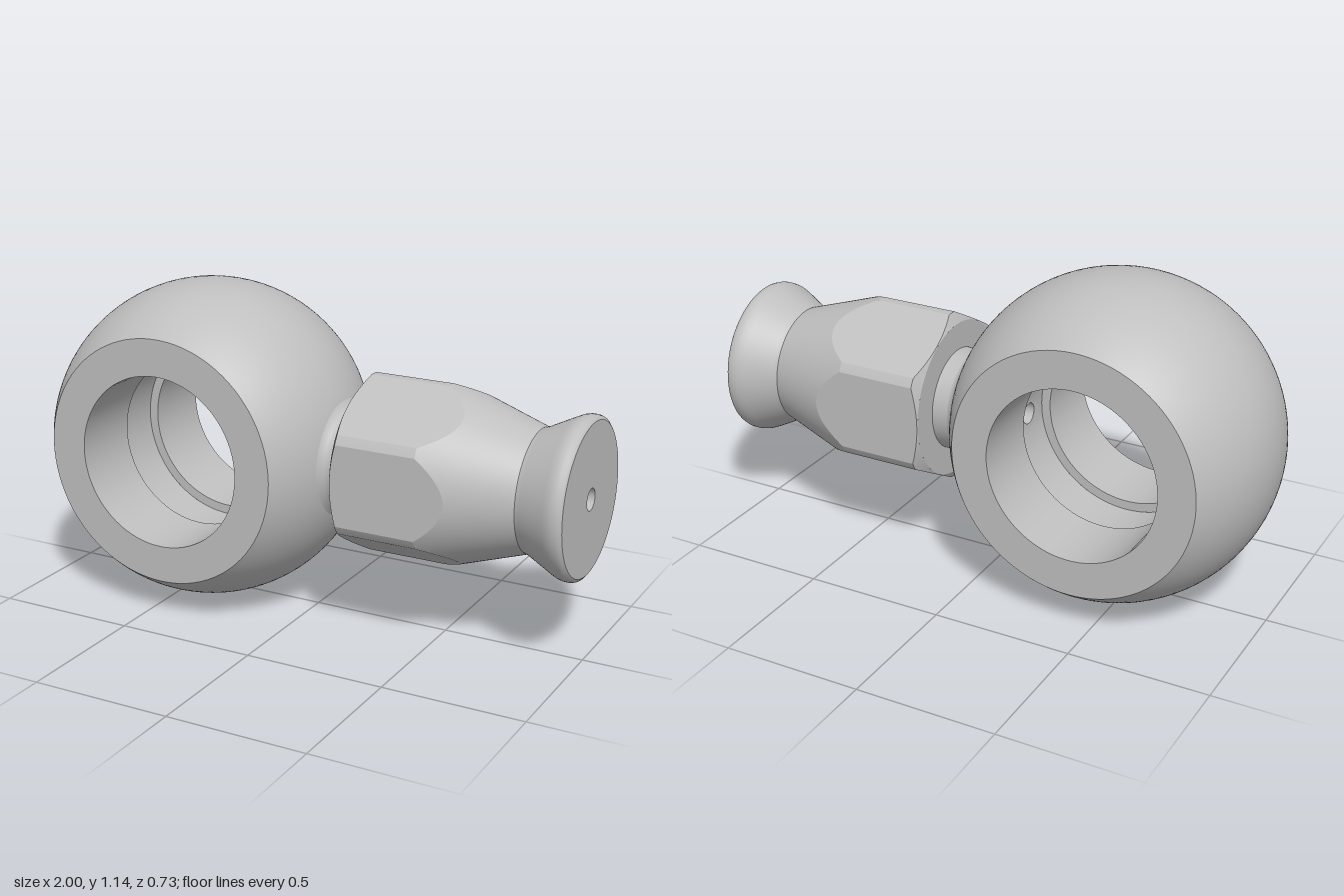
import * as THREE from 'three';
import { mergeGeometries } from 'three/addons/utils/BufferGeometryUtils.js';

const steel = new THREE.MeshStandardMaterial({ color: 0xbfbfbf });
steel.name = 'steel';

const CY = 0.571;                         // height of both axes
const RING_X = -0.43, BALL_R = 0.57, HALF_W = 0.365;
const BORE_R = 0.307, GROOVE_R = 0.34, GROOVE_Z = 0.1;
const PATCH = 0.15;                       // half angle of the drilled groove patch
const HOLE_R = 0.038;

// Revolves each [radius, height] run separately so corners between runs stay sharp
function revolve(runs, start = 0, length = Math.PI * 2) {
  return mergeGeometries(runs.map(run =>
    new THREE.LatheGeometry(run.map(p => new THREE.Vector2(p[0], p[1])), 96, start, length)));
}

function addMesh(group, name, geometry) {
  const mesh = new THREE.Mesh(geometry, steel);
  mesh.name = name;
  group.add(mesh);
}

// Piece of groove floor with the drilled hole, bent onto the groove cylinder
function drilledPatch() {
  const w = GROOVE_R * PATCH, n = 8, pts = [];
  for (let i = 0; i <= n; i++) pts.push(new THREE.Vector2(-w + 2 * w * i / n, -GROOVE_Z));
  for (let i = 0; i <= n; i++) pts.push(new THREE.Vector2(w - 2 * w * i / n, GROOVE_Z));
  const shape = new THREE.Shape(pts);
  shape.holes.push(new THREE.Path().absarc(0, 0, HOLE_R, 0, Math.PI * 2, true));
  const geo = new THREE.ShapeGeometry(shape, 16);
  const pos = geo.attributes.position;
  for (let i = 0; i < pos.count; i++) {
    const a = -pos.getX(i) / GROOVE_R, z = pos.getY(i);
    pos.setXYZ(i, GROOVE_R * Math.cos(a), GROOVE_R * Math.sin(a), z);
  }
  geo.computeVertexNormals();
  return geo;
}

// Hexagon along x, trimmed by a cylinder, a rear chamfer and a long front cone
function hexBody() {
  const flat = 0.283, corner = 0.317, x0 = 0.19, r0 = 0.28, x1 = 0.82, r1 = 0.212;
  const chamfer = (corner - r0) / 0.022, taper = (corner - r1) / (x1 - 0.5);
  const phi = Math.acos(flat / corner), sextant = Math.PI / 3;
  const position = [], normal = [];

  const column = (mid, d) => {
    const r = Math.min(corner, flat / Math.cos(d > sextant / 2 ? sextant - d : d));
    return { a: mid + d, pts: [
      [x0, r0], [x0 + (r - r0) / chamfer, r], [0.5 + (corner - r) / taper, r], [x1, r1]] };
  };
  const put = (a, p, n) => {
    position.push(p[0], p[1] * Math.cos(a), p[1] * Math.sin(a));
    normal.push(...n);
  };
  const coneNormal = (a, slope) => {
    const l = Math.hypot(1, slope);
    return [-slope / l, Math.cos(a) / l, Math.sin(a) / l];
  };

  for (let k = 0; k < 6; k++) {
    const mid = (k + 0.5) * sextant;
    const steps = [];
    for (let i = 0; i <= 16; i++) steps.push(-phi + 2 * phi * i / 16);
    steps.push(sextant / 2, sextant - phi);
    for (let i = 0; i + 1 < steps.length; i++) {
      const A = column(mid, steps[i]), B = column(mid, steps[i + 1]);
      for (let b = 0; b < 3; b++) {
        const norm = a => b === 0 ? coneNormal(a, chamfer)
          : b === 2 ? coneNormal(a, -taper)
            : coneNormal(i < 16 ? mid : a, 0);
        const quad = [[A, b], [B, b], [B, b + 1], [A, b], [B, b + 1], [A, b + 1]];
        for (const [c, j] of quad) put(c.a, c.pts[j], norm(c.a));
      }
    }
  }
  const geo = new THREE.BufferGeometry();
  geo.setAttribute('position', new THREE.Float32BufferAttribute(position, 3));
  geo.setAttribute('normal', new THREE.Float32BufferAttribute(normal, 3));
  return geo;
}

export function createModel() {
  const model = new THREE.Group();
  model.name = 'banjoFitting';

  // Ball-shaped eye, bored along z with a groove inside
  const eye = new THREE.Group();
  eye.name = 'eye';
  eye.position.set(RING_X, CY, 0);
  model.add(eye);

  const ball = [], limit = Math.asin(HALF_W / BALL_R);
  for (let i = 0; i <= 32; i++) {
    const t = limit * (i / 16 - 1);
    ball.push([BALL_R * Math.cos(t), BALL_R * Math.sin(t)]);
  }
  const flatR = BALL_R * Math.cos(limit);
  addMesh(eye, 'eyeBall', revolve([ball]).rotateX(Math.PI / 2));
  addMesh(eye, 'eyeFlats', revolve([
    [[flatR, HALF_W], [BORE_R, HALF_W]],
    [[BORE_R, -HALF_W], [flatR, -HALF_W]],
  ]).rotateX(Math.PI / 2));
  addMesh(eye, 'bore', revolve([
    [[BORE_R, HALF_W], [BORE_R, GROOVE_Z]],
    [[BORE_R, GROOVE_Z], [GROOVE_R, GROOVE_Z]],
    [[GROOVE_R, -GROOVE_Z], [BORE_R, -GROOVE_Z]],
    [[BORE_R, -GROOVE_Z], [BORE_R, -HALF_W]],
  ]).rotateX(Math.PI / 2));
  addMesh(eye, 'grooveFloor', revolve([[[GROOVE_R, GROOVE_Z], [GROOVE_R, -GROOVE_Z]]],
    Math.PI / 2 + PATCH, Math.PI * 2 - 2 * PATCH).rotateX(Math.PI / 2));
  addMesh(eye, 'drilledGroovePatch', drilledPatch());

  // Stem along +x: neck, hexagon, flared tail and the drilled channel
  const stem = new THREE.Group();
  stem.name = 'stem';
  stem.position.y = CY;
  model.add(stem);

  addMesh(stem, 'neck', revolve([
    [[0.25, 0.075], [0.207, 0.1], [0.187, 0.12], [0.182, 0.135]],
    [[0.182, 0.135], [0.182, 0.19]],
    [[0.182, 0.19], [0.28, 0.19]].reverse(),
  ]).rotateZ(-Math.PI / 2));
  stem.children[0].geometry = revolve([
    [[0.25, 0.075], [0.207, 0.1], [0.187, 0.12], [0.182, 0.135], [0.182, 0.19]],
    [[0.18, 0.19], [0.28, 0.19]],
  ]).rotateZ(-Math.PI / 2);
  addMesh(stem, 'hexBody', hexBody());
  addMesh(stem, 'flaredTail', revolve([
    [[0.212, 0.82], [0.218, 0.838], [0.266, 0.932], [0.274, 0.95], [0.277, 0.965],
      [0.277, 0.98], [0.273, 0.992], [0.262, 1]],
    [[0.262, 1], [HOLE_R, 1]],
  ]).rotateZ(-Math.PI / 2));
  addMesh(stem, 'channel', revolve([
    [[HOLE_R, 1], [HOLE_R, RING_X + GROOVE_R - 0.002]],
  ]).rotateZ(-Math.PI / 2));

  return model;
}
